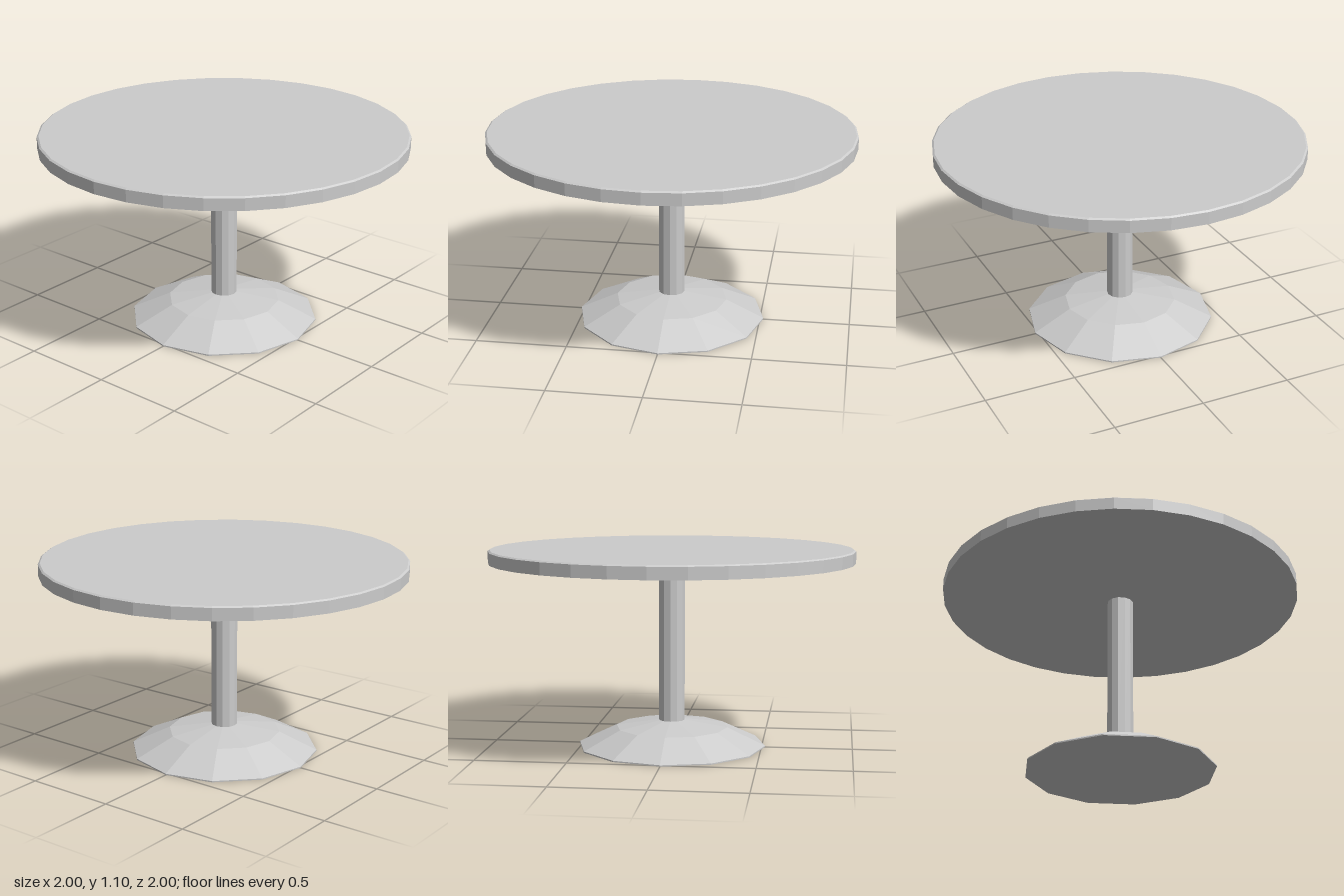
import * as THREE from 'three';

const material = new THREE.MeshStandardMaterial({ color: 0xcccccc, flatShading: true });

// Revolves a [radius, height] profile, listed from bottom to top
function turned(name, profile, sides) {
  const points = profile.map(([r, y]) => new THREE.Vector2(r, y));
  const mesh = new THREE.Mesh(new THREE.LatheGeometry(points, sides), material);
  mesh.name = name;
  return mesh;
}

export function createModel() {
  const table = new THREE.Group();
  table.name = 'pedestalTable';

  // Faceted foot with a thin rim and two slopes
  table.add(turned('base', [[0, 0.005], [0.52, 0.005], [0.52, 0.012], [0.31, 0.112], [0.07, 0.15], [0, 0.15]], 12));

  // Column from the foot to the underside of the top
  const column = new THREE.Mesh(new THREE.CylinderGeometry(0.072, 0.072, 0.89, 12, 1, true), material);
  column.name = 'column';
  column.position.y = 0.59;
  table.add(column);

  // Round top with a slight bevel along its upper edge
  table.add(turned('tabletop', [[0, 1.03], [1, 1.03], [1, 1.095], [0.99, 1.102], [0, 1.102]], 32));

  return table;
}
